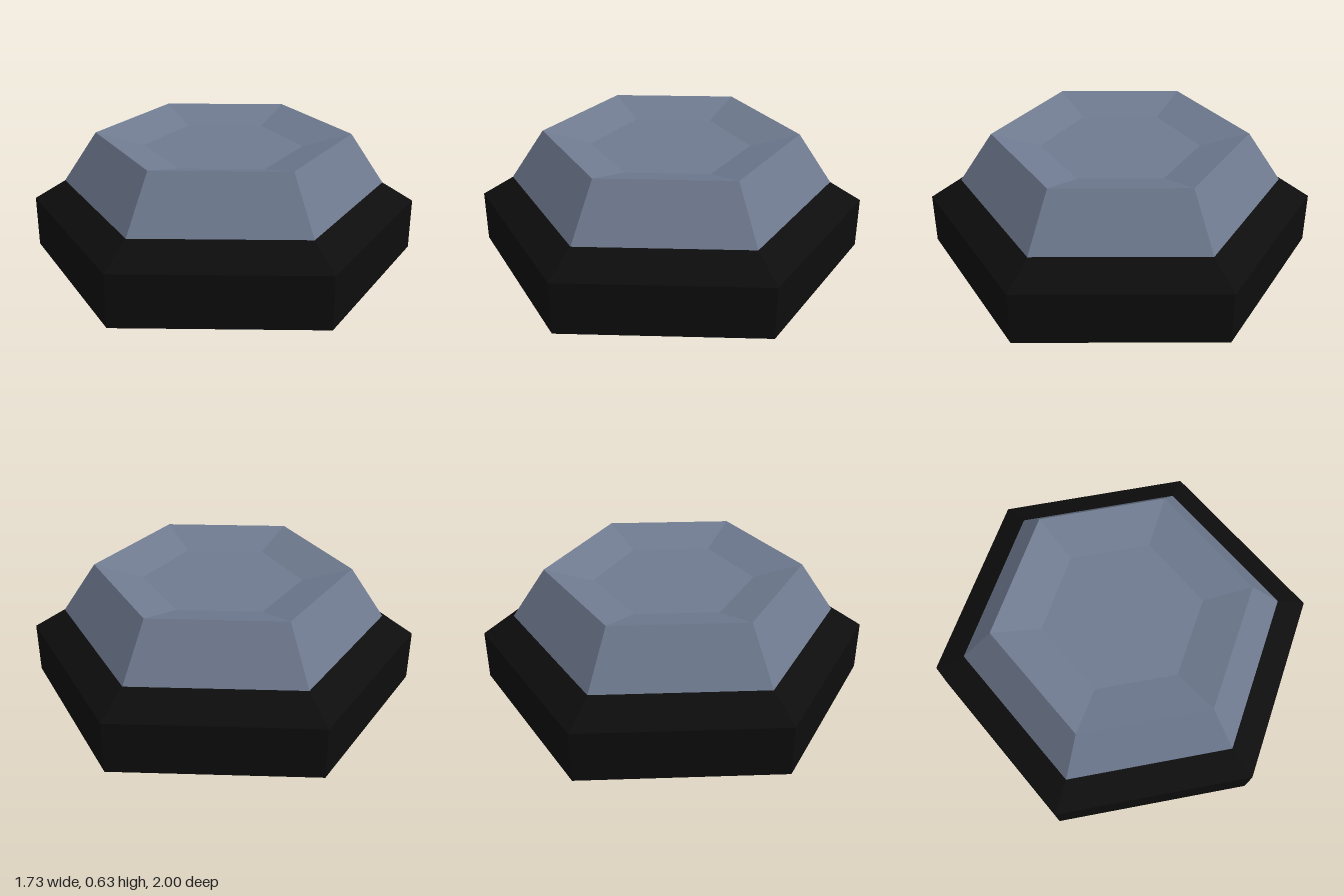
import * as THREE from 'three';

// Six-sided faceted solid from [radius, height] points, listed from bottom to top
function hexLathe(profile, material, name) {
  const points = profile.map(([r, y]) => new THREE.Vector2(r, y));
  const geometry = new THREE.LatheGeometry(points, 6).toNonIndexed();
  geometry.computeVertexNormals();
  const mesh = new THREE.Mesh(geometry, material);
  mesh.name = name;
  return mesh;
}

export function createModel() {
  const black = new THREE.MeshStandardMaterial({ color: 0x0d0d0d });
  black.name = 'black';
  const slate = new THREE.MeshStandardMaterial({ color: 0x6f7a90 });
  slate.name = 'slate blue';

  const group = new THREE.Group();
  group.name = 'hexagonal button';

  // Closed base with upright walls and a sloping shoulder
  group.add(hexLathe([[0, 0], [1, 0], [1, 0.268], [0.835, 0.37]], black, 'base'));

  // Tapered cap with a shallow dish sunk into its top
  group.add(hexLathe([[0.835, 0.37], [0.658, 0.635], [0.41, 0.568], [0, 0.568]], slate, 'cap'));

  return group;
}
